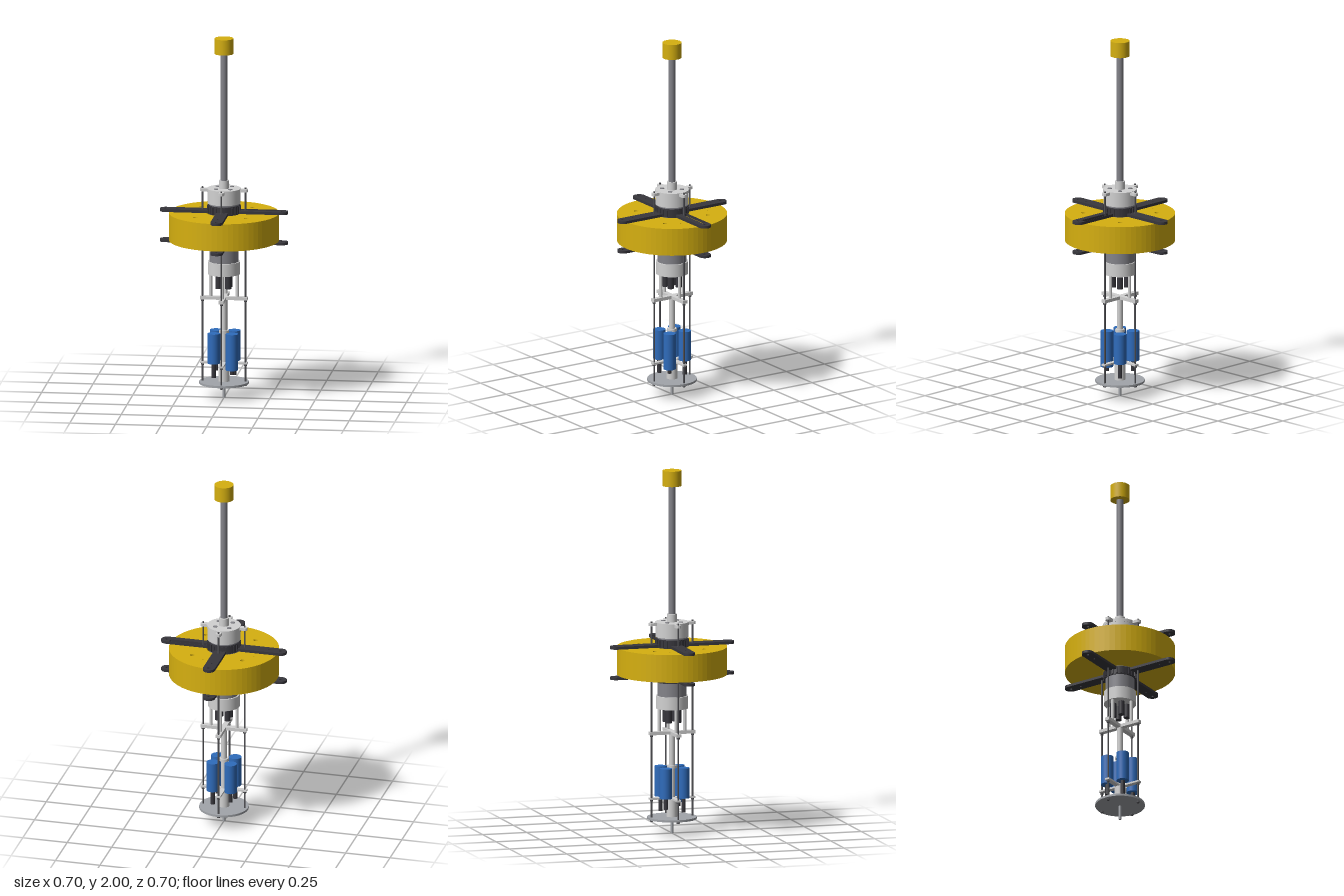
import * as THREE from 'three';

const mat = (name, color) => {
  const m = new THREE.MeshStandardMaterial({ color });
  m.name = name;
  return m;
};

export function createModel() {
  const yellow = mat('float yellow', 0xd6b010);
  const dark = mat('clamp black', 0x38373d);
  const light = mat('light metal', 0xd2d2d2);
  const grey = mat('mast grey', 0x84848a);
  const mid = mat('base grey', 0xa2a5aa);
  const blue = mat('battery blue', 0x2f6cbc);
  const rodGrey = mat('rod grey', 0x525256);

  const model = new THREE.Group();
  model.name = 'instrumentBuoy';

  const add = (name, geometry, material, parent = model) => {
    const mesh = new THREE.Mesh(geometry, material);
    mesh.name = name;
    parent.add(mesh);
    return mesh;
  };
  // Upright cylinder between two heights
  const post = (name, r, y0, y1, material, x = 0, z = 0, seg = 48) => {
    const mesh = add(name, new THREE.CylinderGeometry(r, r, y1 - y0, seg), material);
    mesh.position.set(x, (y0 + y1) / 2, z);
    return mesh;
  };
  // Horizontal plate between two heights; shape y becomes -z
  const plate = (name, shape, y0, y1, material) => {
    const geo = new THREE.ExtrudeGeometry(shape, { depth: y1 - y0, bevelEnabled: false, curveSegments: 32 });
    geo.rotateX(-Math.PI / 2);
    const mesh = add(name, geo, material);
    mesh.position.y = y0;
    return mesh;
  };
  const disc = (r) => new THREE.Shape().absarc(0, 0, r, 0, Math.PI * 2, false);
  const hole = (shape, x, y, r) => shape.holes.push(new THREE.Path().absarc(x, y, r, 0, Math.PI * 2, true));
  const polar = (r, i) => [r * Math.cos(i * Math.PI / 2), r * Math.sin(i * Math.PI / 2)];

  // Mast with its top marker and foot collar
  post('topMarker', 0.052, 1.915, 2, yellow);
  post('mast', 0.019, 1.16, 1.92, grey);
  post('mastCollar', 0.027, 1.15, 1.21, light);

  // Float: body with through holes, upper skin with shallow recesses
  const body = disc(0.3);
  const skin = disc(0.3);
  for (const s of [body, skin]) {
    hole(s, 0, 0, 0.096);
    for (let i = 0; i < 4; i++) hole(s, ...polar(0.256, i), 0.005);
  }
  for (let i = 0; i < 4; i++) {
    const a = i * Math.PI / 2;
    hole(skin, 0.199 * Math.cos(a + Math.PI / 4), 0.199 * Math.sin(a + Math.PI / 4), 0.0125);
    hole(skin, 0.199 * Math.cos(a + 1.222), 0.199 * Math.sin(a + 1.222), 0.0035);
  }
  plate('floatBody', body, 0.878, 1.015, yellow);
  plate('floatSkin', skin, 1.015, 1.03, yellow);

  // Radial arms above and below the float
  const armShape = (slotted) => {
    const s = new THREE.Shape();
    s.moveTo(0.085, -0.033);
    s.lineTo(0.319, -0.033);
    s.absarc(0.319, 0, 0.033, -Math.PI / 2, Math.PI / 2, false);
    s.lineTo(0.085, 0.033);
    s.closePath();
    hole(s, 0.32, 0, 0.008);
    if (slotted) {
      const slot = new THREE.Path();
      slot.moveTo(0.095, 0.001);
      slot.lineTo(0.095, 0.031);
      slot.lineTo(0.3, 0.031);
      slot.lineTo(0.3, 0.001);
      slot.closePath();
      s.holes.push(slot);
    } else hole(s, 0.256, 0, 0.005);
    return s;
  };
  for (let i = 0; i < 4; i++) {
    plate('upperArm', armShape(i === 0), 1.031, 1.046, dark).rotation.y = i * Math.PI / 2;
    plate('lowerArm', armShape(false), 0.863, 0.877, dark).rotation.y = i * Math.PI / 2;
  }

  // Pressure housing, end caps and ribbed clamp rings
  post('housingTube', 0.08, 0.75, 1.09, grey);
  post('upperCap', 0.091, 1.085, 1.15, light);
  post('lowerCap', 0.088, 0.69, 0.76, light);
  for (const [y0, y1] of [[0.835, 0.88], [1.028, 1.075]]) {
    post('clampRing', 0.087, y0, y1, dark);
    for (let i = 0; i < 24; i++) {
      const a = (i + 0.5) * Math.PI / 12;
      const rib = add('clampRib', new THREE.BoxGeometry(0.008, y1 - y0 - 0.008, 0.01), dark);
      rib.position.set(0.088 * Math.cos(a), (y0 + y1) / 2, 0.088 * Math.sin(a));
      rib.rotation.y = -a;
    }
  }

  // Four-eared plate on the upper cap
  post('topPlate', 0.092, 1.148, 1.166, light);
  const ear = new THREE.Shape([[0.08, -0.014], [0.124, -0.014], [0.131, -0.007], [0.131, 0.007],
    [0.124, 0.014], [0.08, 0.014]].map(([x, y]) => new THREE.Vector2(x, y)));
  for (let i = 0; i < 4; i++) {
    plate('topPlateEar', ear, 1.148, 1.164, light).rotation.y = i * Math.PI / 2;
    const a = (i + 0.5) * Math.PI / 2;
    post('topBolt', 0.012, 1.16, 1.169, grey, 0.055 * Math.cos(a), 0.055 * Math.sin(a), 24);
  }

  // Tie rods with nuts, standoffs and cable connectors
  for (let i = 0; i < 4; i++) {
    const [x, z] = polar(0.117, i);
    post('tieRod', 0.005, 0.068, 1.172, rodGrey, x, z, 16);
    for (const y of [0.07, 0.18, 0.535]) post('rodNut', 0.009, y, y + 0.009, rodGrey, x, z, 6);
    const [sx, sz] = polar(0.073, i);
    post('standoff', 0.009, 0.555, 0.695, light, sx, sz, 20);
    const a = (i + 0.5) * Math.PI / 2;
    post('connector', 0.017, 0.612, 0.695, dark, 0.038 * Math.cos(a), 0.038 * Math.sin(a), 20);
  }

  // Cross braces
  for (const [y, h, w] of [[0.555, 0.018, 0.028], [0.195, 0.01, 0.026]]) {
    add('crossBrace', new THREE.BoxGeometry(0.258, h, w), light).position.y = y;
    add('crossBrace', new THREE.BoxGeometry(w, h, 0.258), light).position.y = y;
  }

  // Central column, foot block and probe
  post('centralColumn', 0.016, 0.19, 0.56, light, 0, 0, 32);
  post('columnCollar', 0.026, 0.36, 0.375, light, 0, 0, 32);
  post('footBlock', 0.03, 0.09, 0.195, light, 0, 0, 32);
  post('basePlate', 0.135, 0.08, 0.092, mid);
  post('probe', 0.007, 0, 0.085, mid, 0, 0, 20);

  // Battery cylinders with dark plugs below
  for (const [x, z, y0, plug] of [[1, 1, 0.165, 0.14], [-1, 1, 0.2, 0.12], [-1, -1, 0.2, 0.14], [1, -1, 0.2, 0.118]]) {
    post('battery', 0.034, y0, 0.366, blue, x * 0.05, z * 0.05, 40);
    post('batteryPlug', 0.012, plug, y0 + 0.002, dark, x * 0.05, z * 0.05, 20);
  }
  return model;
}
